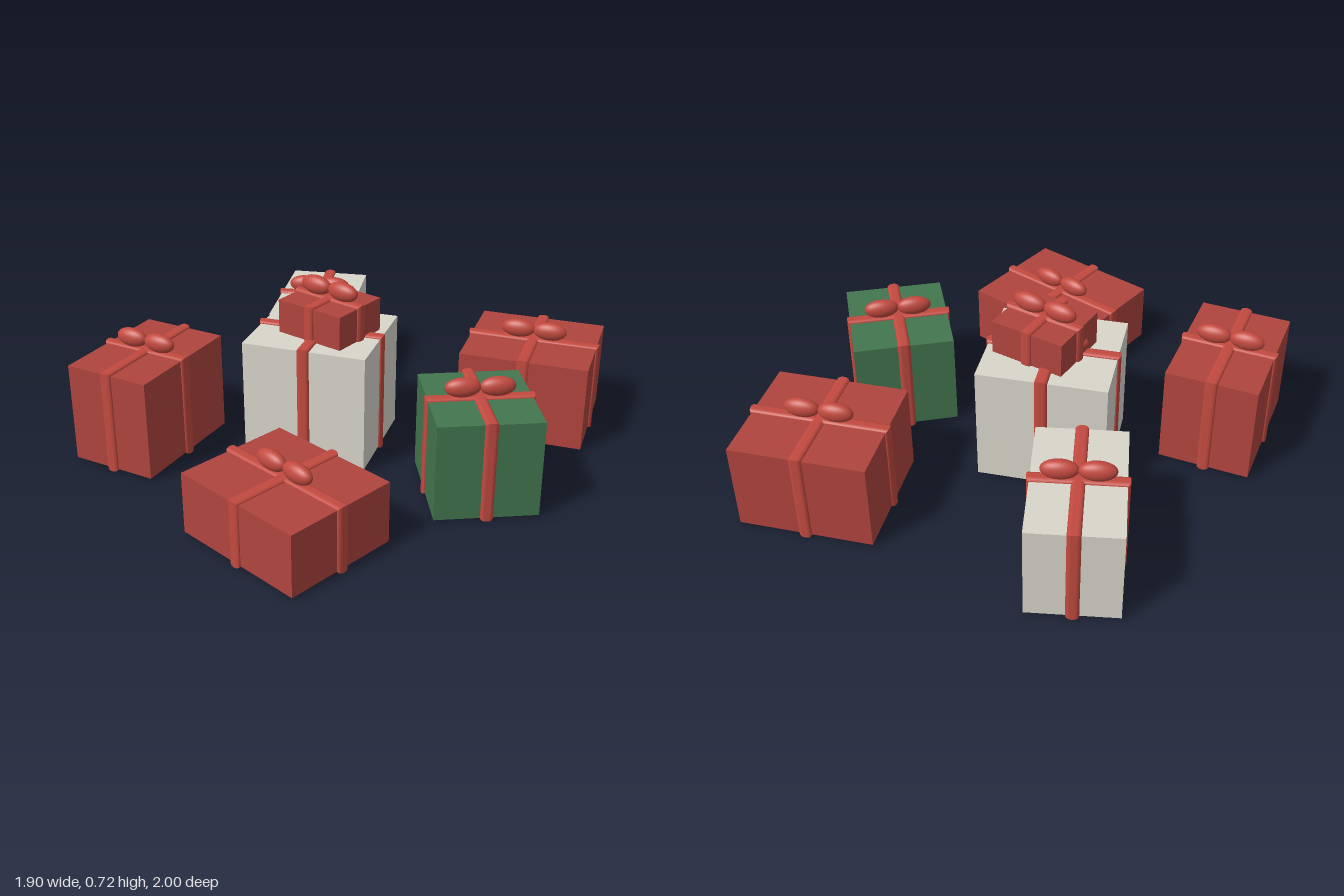
import * as THREE from 'three';
import { toCreasedNormals } from 'three/addons/utils/BufferGeometryUtils.js';

const material = (color) => new THREE.MeshStandardMaterial({ color });
const red = material(0xb0443e);
const white = material(0xd9d6cb);
const green = material(0x43764f);
const ribbonRed = material(0xc24a40);

const BULGE = 0.011; // how far a ribbon stands off the box

// Closed rectangular band with a half-elliptical profile
function ribbonGeometry(width, height, band) {
  const shape = new THREE.Shape([
    new THREE.Vector2(-width / 2, -height / 2),
    new THREE.Vector2(width / 2, -height / 2),
    new THREE.Vector2(width / 2, height / 2),
    new THREE.Vector2(-width / 2, height / 2),
  ]);
  const depth = 0.004;
  const geometry = new THREE.ExtrudeGeometry(shape, {
    depth,
    bevelSize: BULGE,
    bevelThickness: (band - depth) / 2,
    bevelSegments: 5,
  });
  geometry.translate(0, 0, -depth / 2);
  return toCreasedNormals(geometry, 0.8);
}

function addMesh(parent, name, geometry, mat) {
  const mesh = new THREE.Mesh(geometry, mat);
  mesh.name = name;
  parent.add(mesh);
  return mesh;
}

// One wrapped present: box, two crossing ribbons and a two-lobed bow
function createPresent({ name, x, z, w, d, bottom = BULGE, top, turn, mat, band = 0.05 }) {
  const present = new THREE.Group();
  present.name = name;
  present.position.set(x, 0, z);
  present.rotation.y = turn;

  const h = top - bottom;
  const middle = bottom + h / 2;
  addMesh(present, 'box', new THREE.BoxGeometry(w, h, d), mat).position.y = middle;

  addMesh(present, 'ribbonAcross', ribbonGeometry(w, h, band), ribbonRed).position.y = middle;
  const lengthwise = addMesh(present, 'ribbonLengthwise', ribbonGeometry(d, h, band), ribbonRed);
  lengthwise.position.y = middle;
  lengthwise.rotation.y = Math.PI / 2;

  for (const side of [-1, 1]) {
    const lobe = addMesh(present, side < 0 ? 'bowRight' : 'bowLeft',
      new THREE.SphereGeometry(1, 28, 18), ribbonRed);
    lobe.scale.set(0.07, 0.039, 0.032);
    lobe.position.set(side * 0.067, top + 0.045, 0);
  }
  return present;
}

export function createModel() {
  const model = new THREE.Group();
  model.name = 'presents';
  const presents = [
    { name: 'backWhitePresent', x: -0.35, z: -0.693, w: 0.345, d: 0.551, top: 0.395, turn: 0.2, mat: white },
    { name: 'backRedPresent', x: 0.669, z: -0.608, w: 0.53, d: 0.487, top: 0.37, turn: 0.05, mat: red },
    { name: 'centreWhitePresent', x: -0.095, z: -0.1, w: 0.509, d: 0.461, top: 0.498, turn: 0.06, mat: white },
    { name: 'smallTopPresent', x: -0.06, z: -0.1, w: 0.308, d: 0.266, bottom: 0.498, top: 0.637, turn: -0.28, mat: red, band: 0.045 },
    { name: 'greenPresent', x: 0.62, z: 0.071, w: 0.402, d: 0.447, top: 0.403, turn: 0.475, mat: green },
    { name: 'sideRedPresent', x: -0.738, z: 0.205, w: 0.368, d: 0.533, top: 0.424, turn: -0.112, mat: red },
    { name: 'frontRedPresent', x: 0.077, z: 0.664, w: 0.574, d: 0.482, top: 0.26, turn: -0.4, mat: red },
  ];
  for (const p of presents) model.add(createPresent(p));
  return model;
}
